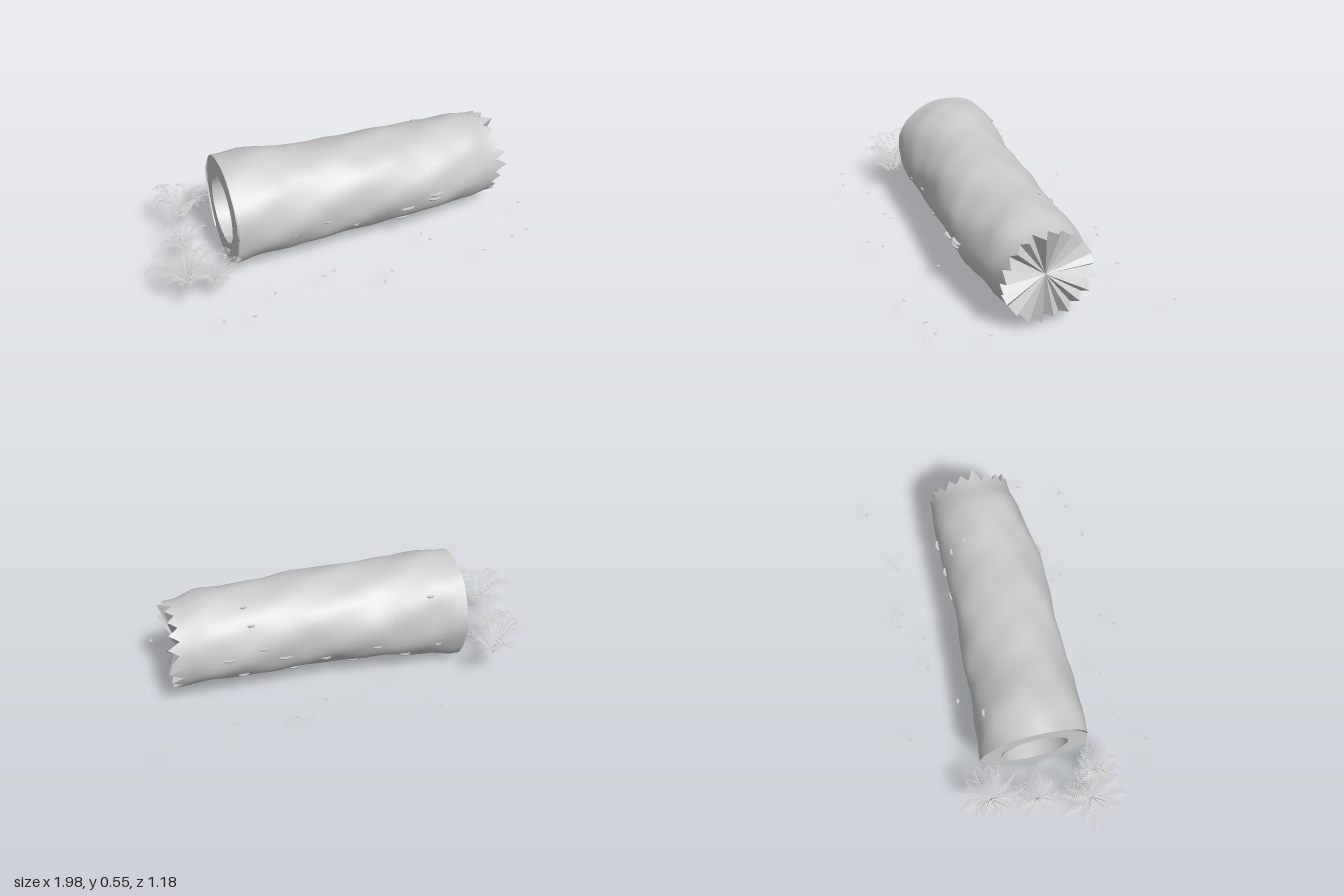
import * as THREE from 'three';
import { mergeGeometries } from 'three/addons/utils/BufferGeometryUtils.js';

// stations along the log: x, centre y, centre z, radius y, radius z
const STATIONS = [
  [-0.54, 0.272, -0.015, 0.268, 0.262],
  [-0.40, 0.288, -0.005, 0.262, 0.262],
  [-0.10, 0.283, 0.008, 0.233, 0.25],
  [0.20, 0.282, 0.02, 0.233, 0.243],
  [0.45, 0.276, 0.022, 0.218, 0.245],
  [0.70, 0.276, 0.01, 0.22, 0.23],
  [0.84, 0.26, 0, 0.21, 0.21],
];
const X0 = -0.54, X1 = 0.84, AROUND = 40, TAU = Math.PI * 2;
const GROUND = 0.09;

function seeded(seed) {
  return () => (seed = (seed * 16807) % 2147483647) / 2147483647;
}

// point on the bark; angle 0 is straight down, a quarter turn is +z
function bark(x, a, lift = 0) {
  let k = 0;
  while (k < STATIONS.length - 2 && x > STATIONS[k + 1][0]) k++;
  const p = STATIONS[k], q = STATIONS[k + 1];
  const t = THREE.MathUtils.smoothstep(x, p[0], q[0]);
  const [, cy, cz, ry, rz] = p.map((v, i) => v + (q[i] - v) * t);
  const fade = 1 - THREE.MathUtils.smoothstep(x, 0.7, X1);
  const bump = 1 + lift + fade * (0.016 * Math.sin(3 * a + 8 * x) + 0.012 * Math.sin(7 * a - 13 * x)
    + 0.008 * Math.sin(5 * a + 29 * x));
  return new THREE.Vector3(x, cy - ry * bump * Math.cos(a), cz + rz * bump * Math.sin(a));
}

// surface from a rule f(u, v); it faces along du x dv
function grid(nu, nv, f) {
  const pos = [], idx = [];
  for (let i = 0; i <= nu; i++) for (let j = 0; j <= nv; j++) pos.push(...f(i / nu, j / nv).toArray());
  for (let i = 0; i < nu; i++) for (let j = 0; j < nv; j++) {
    const a = i * (nv + 1) + j, b = a + nv + 1;
    idx.push(a, b, b + 1, a, b + 1, a + 1);
  }
  const g = new THREE.BufferGeometry();
  g.setAttribute('position', new THREE.Float32BufferAttribute(pos, 3));
  g.setIndex(idx);
  g.computeVertexNormals();
  return g;
}

function triangles(pos) {
  const g = new THREE.BufferGeometry();
  g.setAttribute('position', new THREE.Float32BufferAttribute(pos, 3));
  g.computeVertexNormals();
  return g;
}

// one arching frond with paired leaflets
function frond(x, z, azimuth, length, height) {
  const pos = [], dir = new THREE.Vector3(Math.cos(azimuth), 0, Math.sin(azimuth));
  const side = new THREE.Vector3(-dir.z, 0, dir.x);
  const at = (t) => new THREE.Vector3(x, GROUND + height * Math.sin(t * 2.1), z).addScaledVector(dir, length * t);
  const add = (a, b, c) => pos.push(...a.toArray(), ...b.toArray(), ...c.toArray());
  const n = 19, step = length / n;
  for (let i = 0; i < n; i++) {
    const a = at(i / n), b = at((i + 1) / n);
    const w = side.clone().multiplyScalar(0.0015);
    add(a.clone().sub(w), a.clone().add(w), b);
    const t = (i + 0.5) / n;
    if (t < 0.12) continue;
    const reach = 0.04 * Math.pow(Math.sin(Math.PI * (0.15 + 0.83 * t)), 0.8);
    for (const s of [-1, 1]) {
      const tip = a.clone().addScaledVector(side, s * reach).addScaledVector(dir, reach * 0.35);
      tip.y -= reach * 0.15;
      const mid = a.clone().lerp(tip, 0.5);
      const fore = mid.clone().addScaledVector(dir, step * 0.32);
      const aft = mid.clone().addScaledVector(dir, -step * 0.32);
      if (s > 0) { add(a, tip, fore); add(a, aft, tip); }
      else { add(a, fore, tip); add(a, tip, aft); }
    }
  }
  return triangles(pos);
}

export function createModel() {
  const grey = new THREE.MeshStandardMaterial({ color: 0xcccccc, side: THREE.DoubleSide });
  grey.name = 'plain grey';
  const model = new THREE.Group();
  model.name = 'fallenLog';
  const add = (name, geometry) => {
    const mesh = new THREE.Mesh(geometry, grey);
    mesh.name = name;
    model.add(mesh);
    return mesh;
  };
  const rand = seeded(4711);

  // splintered rim: alternate spikes and notches
  const rim = Array.from({ length: AROUND }, (_, i) => (i % 2 ? 0.86 + 0.05 * rand() : 0.825 + 0.02 * rand()));
  const rimPoint = (i) => bark(X1, (i / AROUND) * TAU).setX(rim[i % AROUND]);

  // bark shell, split open underneath towards the hollow end
  add('bark', grid(32, AROUND, (u, v) => {
    if (u === 1) return rimPoint(Math.round(v * AROUND));
    const x = X0 + (0.82 - X0) * (u * 32 / 31);
    const slot = 0.66 * Math.max(0, 1 - (x - X0) / 1.1);
    return bark(x, slot + v * (TAU - 2 * slot));
  }));

  // broken end made of flat wedges running to the centre
  const wedges = [];
  for (let i = 0; i < AROUND; i++) {
    wedges.push(0.835, 0.257, 0, ...rimPoint(i + 1).toArray(), ...rimPoint(i).toArray());
  }
  add('brokenEnd', triangles(wedges));

  // hollow end: rim plate and bore
  const bore = (x, a) => {
    const r = 0.165 - 0.03 * (x - X0);
    return new THREE.Vector3(x, 0.275 - r * Math.cos(a), -0.01 + r * Math.sin(a));
  };
  const slant = (p) => p.setX(X0 - 0.03 * p.z);
  add('hollowRim', grid(1, 20, (u, v) => slant(u ? bark(X0, v * TAU) : bore(X0, v * TAU))));
  add('hollowBore', grid(24, 4, (u, v) => bore(X0 + 0.75 * v, u * TAU)));
  const back = new THREE.CircleGeometry(0.143, 24);
  back.rotateY(-Math.PI / 2);
  back.translate(0.21, 0.275, -0.01);
  add('hollowBack', back);

  // small shelf fungi on the bark: x, angle, radius
  const fungi = [
    [0.47, 1.53, 0.04], [0.46, 1.42, 0.035], [0.32, 1.27, 0.04], [-0.1, 1.43, 0.018], [0.05, 1.15, 0.016],
    [-0.27, 1.35, 0.012], [0.32, 0.8, 0.035], [-0.36, 4.05, 0.018], [0.5, 4.05, 0.018], [0.52, 3.65, 0.016],
    [0.62, 4.75, 0.03], [0.35, 4.95, 0.035], [0.15, 5.2, 0.03], [-0.1, 5.0, 0.025], [-0.25, 5.4, 0.03],
    [0.55, 5.4, 0.03], [0.3, 5.6, 0.03], [0.0, 5.6, 0.025], [-0.4, 5.1, 0.02], [0.45, 4.6, 0.025],
  ];
  for (const [x, a, r] of fungi) {
    const cap = add('shelfFungus', new THREE.CylinderGeometry(r, r * 0.8, 0.008, 10));
    cap.scale.z = 0.5;
    cap.position.copy(bark(x, a));
  }

  // four ferns by the hollow end: x, z, spread, height, frond count
  const ferns = [
    [-0.69, -0.27, 0.16, 0.17, 13], [-0.74, -0.05, 0.13, 0.13, 9],
    [-0.8, 0.21, 0.19, 0.13, 12], [-0.67, 0.26, 0.13, 0.14, 11],
  ];
  for (const [x, z, spread, height, count] of ferns) {
    const fronds = [];
    for (let i = 0; i < count; i++) {
      const azimuth = ((i + 0.5 * rand()) / count) * TAU;
      fronds.push(frond(x, z, azimuth, spread * (0.75 + 0.25 * rand()), height * (0.5 + 0.65 * rand())));
    }
    add('fern', mergeGeometries(fronds));
  }

  // leaves scattered on the ground: x, z
  const litter = [
    [-0.3, -0.585], [0.3, -0.515], [0.365, -0.49], [0.635, -0.46], [0.985, -0.555], [0.04, -0.42], [0.205, -0.4],
    [-0.165, -0.31], [-0.45, 0.45], [-0.2, 0.425], [-0.14, 0.41], [-0.72, 0.53], [-0.585, 0.555], [0.045, 0.575],
    [0.11, 0.52], [0.365, 0.325], [0.385, 0.38], [0.585, 0.555], [0.77, 0.515], [0.86, 0.5], [0.95, 0.29],
  ];
  litter.forEach(([x, z], i) => {
    const leaf = add('fallenLeaf', new THREE.CircleGeometry(0.015, 4).rotateX(-Math.PI / 2));
    leaf.scale.z = 0.55;
    leaf.position.set(x, GROUND + 0.003, z);
    leaf.rotation.set(0.25 * (rand() - 0.5), i * 1.3, 0.25 * (rand() - 0.5));
  });
  return model;
}
